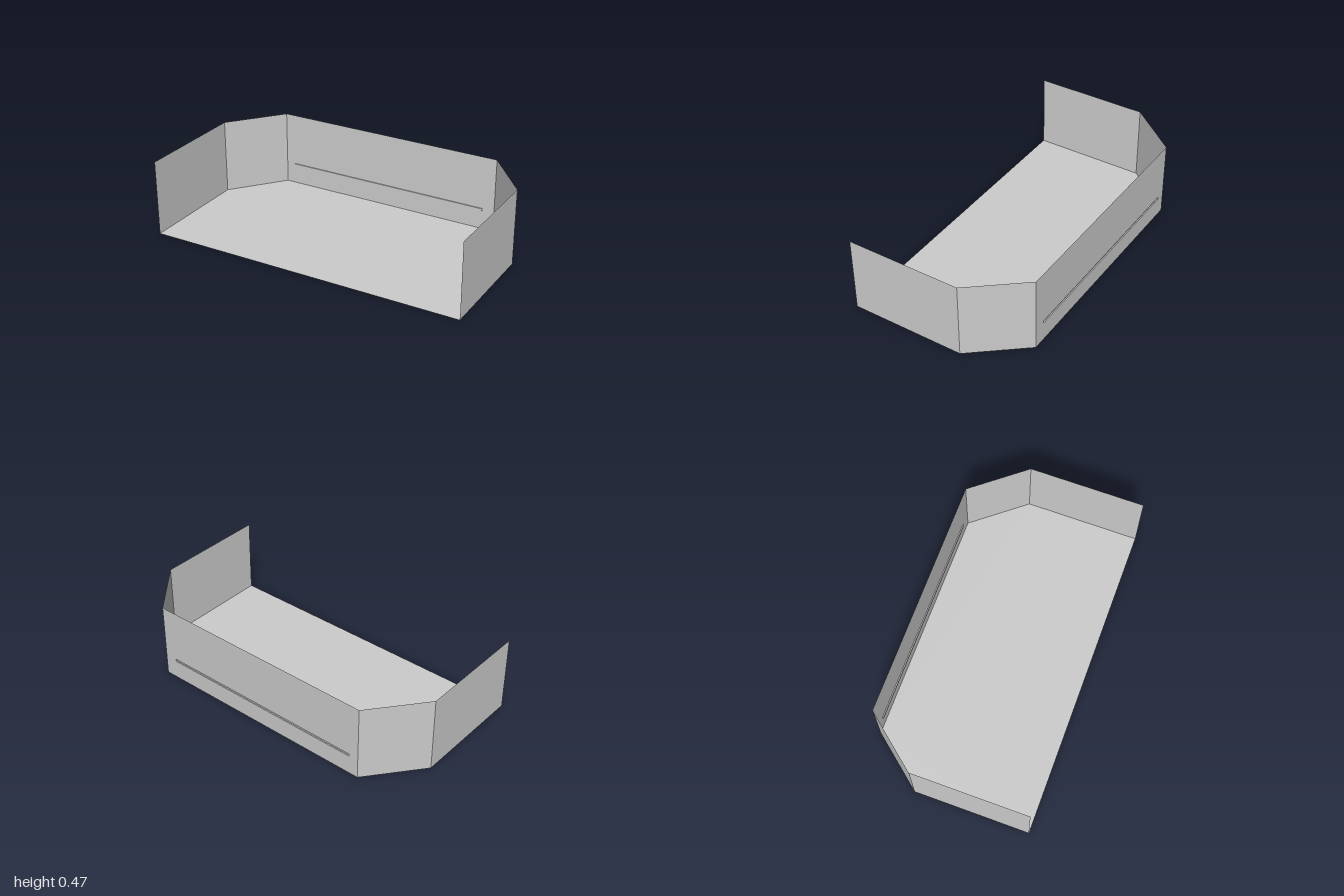
import * as THREE from 'three';

const HEIGHT = 0.474, FRONT = 0.518, BACK = -0.518, BEND = -0.196, BACK_X = 0.737;
const SLOT = { x0: -0.676, x1: 0.66, y0: 0.12, y1: 0.135, depth: 0.007 };

export function createModel() {
  const model = new THREE.Group();
  const material = new THREE.MeshStandardMaterial({ color: 0xcccccc, side: THREE.DoubleSide, flatShading: true });

  const add = (name, geometry) => {
    const mesh = new THREE.Mesh(geometry, material);
    mesh.name = name;
    model.add(mesh);
    return mesh;
  };
  const points = (list) => list.map(([x, y]) => new THREE.Vector2(x, y));

  // Floor: rectangle with both rear corners cut off
  const outline = points([[-1, -FRONT], [1, -FRONT], [1, -BEND], [BACK_X, -BACK], [-BACK_X, -BACK], [-1, -BEND]]);
  add('floor', new THREE.ShapeGeometry(new THREE.Shape(outline)).rotateX(-Math.PI / 2));

  // Thin upright panel between two points on the floor
  const addWall = (name, [x0, z0], [x1, z1]) => {
    const wall = add(name, new THREE.PlaneGeometry(Math.hypot(x1 - x0, z1 - z0), HEIGHT));
    wall.position.set((x0 + x1) / 2, HEIGHT / 2, (z0 + z1) / 2);
    wall.rotation.y = -Math.atan2(z1 - z0, x1 - x0);
  };

  // Side and angled corner walls, mirrored
  for (const [side, s] of [['left', 1], ['right', -1]]) {
    addWall(side + 'Wall', [s, FRONT], [s, BEND]);
    addWall(side + 'CornerWall', [s, BEND], [s * BACK_X, BACK]);
  }

  // Back wall with a long slot
  const { x0, x1, y0, y1, depth } = SLOT;
  const back = new THREE.Shape(points([[-BACK_X, 0], [BACK_X, 0], [BACK_X, HEIGHT], [-BACK_X, HEIGHT]]));
  back.holes.push(new THREE.Path(points([[x0, y0], [x0, y1], [x1, y1], [x1, y0]])));
  add('backWall', new THREE.ShapeGeometry(back).translate(0, 0, BACK));

  // Shallow pocket behind the slot, a box without its rear face
  const pocket = new THREE.BoxGeometry(x1 - x0, y1 - y0, depth);
  pocket.setIndex(Array.from(pocket.index.array.slice(0, 30)));
  pocket.clearGroups();
  add('slotPocket', pocket).position.set((x0 + x1) / 2, (y0 + y1) / 2, BACK + depth / 2);

  return model;
}
